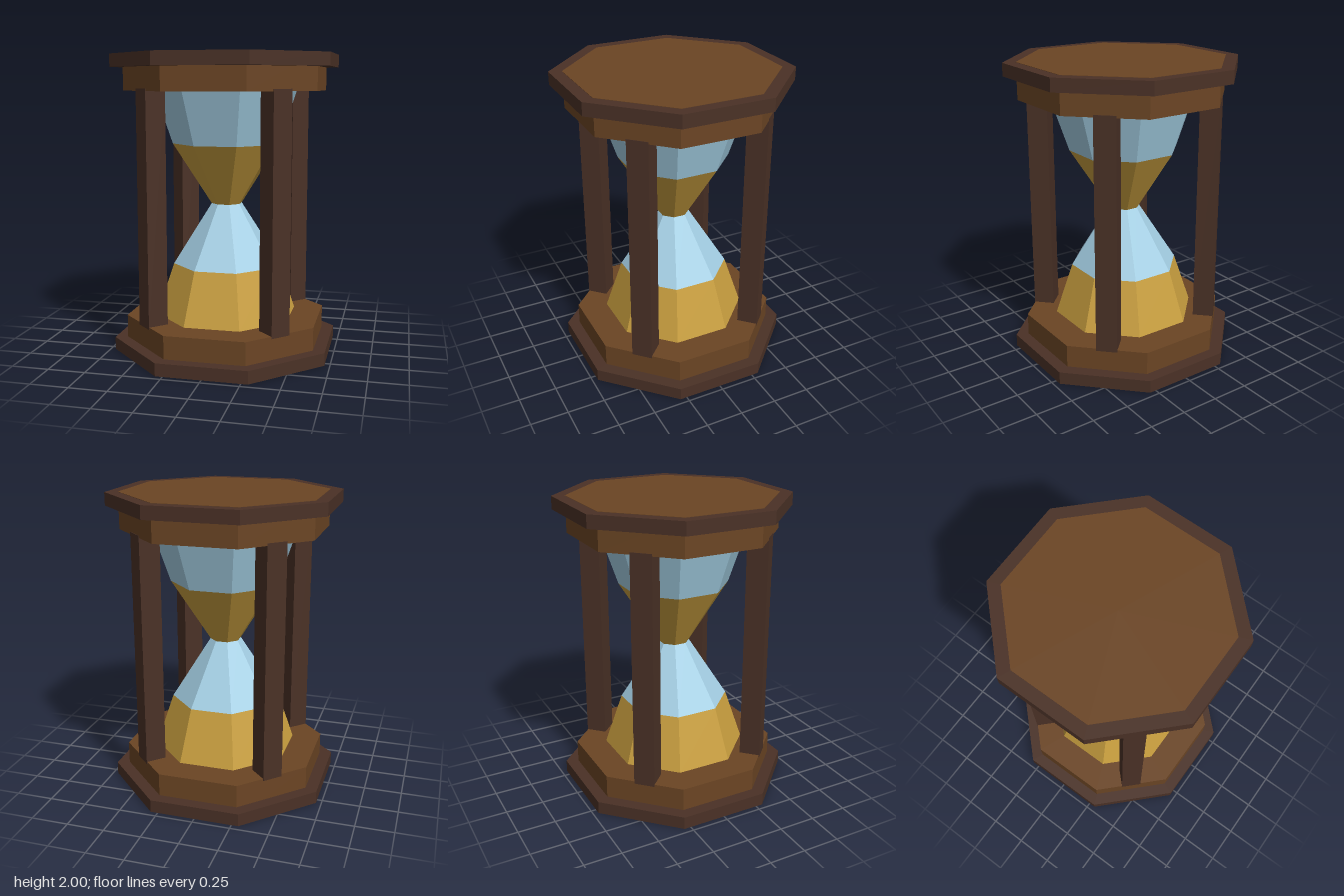
import * as THREE from 'three';

const mat = (name, color) => {
  const m = new THREE.MeshStandardMaterial({ color, flatShading: true });
  m.name = name;
  return m;
};

export function createModel() {
  const darkWood = mat('dark wood', 0x4a3126);
  const wood = mat('warm wood', 0x6b4524);
  const glass = mat('glass blue', 0xa4cfe4);
  const sand = mat('sand', 0xc99f3f);

  const model = new THREE.Group();
  model.name = 'hourglass';

  // Eight-sided frustum given by its flat-to-centre distances and heights
  const octagon = (name, bottom, top, y0, y1, material) => {
    const k = Math.cos(Math.PI / 8);
    const geo = new THREE.CylinderGeometry(top / k, bottom / k, y1 - y0, 8);
    geo.rotateY(Math.PI / 8);
    geo.translate(0, (y0 + y1) / 2, 0);
    const mesh = new THREE.Mesh(geo, material);
    mesh.name = name;
    model.add(mesh);
  };

  // End plates: a wide dark rim around a narrower block that shows on the outside
  octagon('baseRim', 0.715, 0.715, 0.002, 0.087, darkWood);
  octagon('baseBlock', 0.636, 0.636, 0, 0.24, wood);
  octagon('topBlock', 0.636, 0.636, 1.76, 2, wood);
  octagon('topRim', 0.715, 0.715, 1.913, 1.998, darkWood);

  // Bulbs: each half has a sand part and an empty glass part
  octagon('lowerSand', 0.447, 0.338, 0.24, 0.59, sand);
  octagon('lowerGlass', 0.338, 0.096, 0.59, 1, glass);
  octagon('upperSand', 0.096, 0.338, 1, 1.41, sand);
  octagon('upperGlass', 0.338, 0.447, 1.41, 1.76, glass);

  // Four square posts on the diagonals, turned to face outwards
  const postGeo = new THREE.BoxGeometry(0.138, 1.55, 0.138);
  for (const x of [-1, 1]) {
    for (const z of [-1, 1]) {
      const post = new THREE.Mesh(postGeo, darkWood);
      post.name = `${z > 0 ? 'front' : 'back'}${x > 0 ? 'Left' : 'Right'}Post`;
      post.position.set(0.403 * x, 1, 0.403 * z);
      post.rotation.y = Math.PI / 4;
      model.add(post);
    }
  }
  return model;
}
